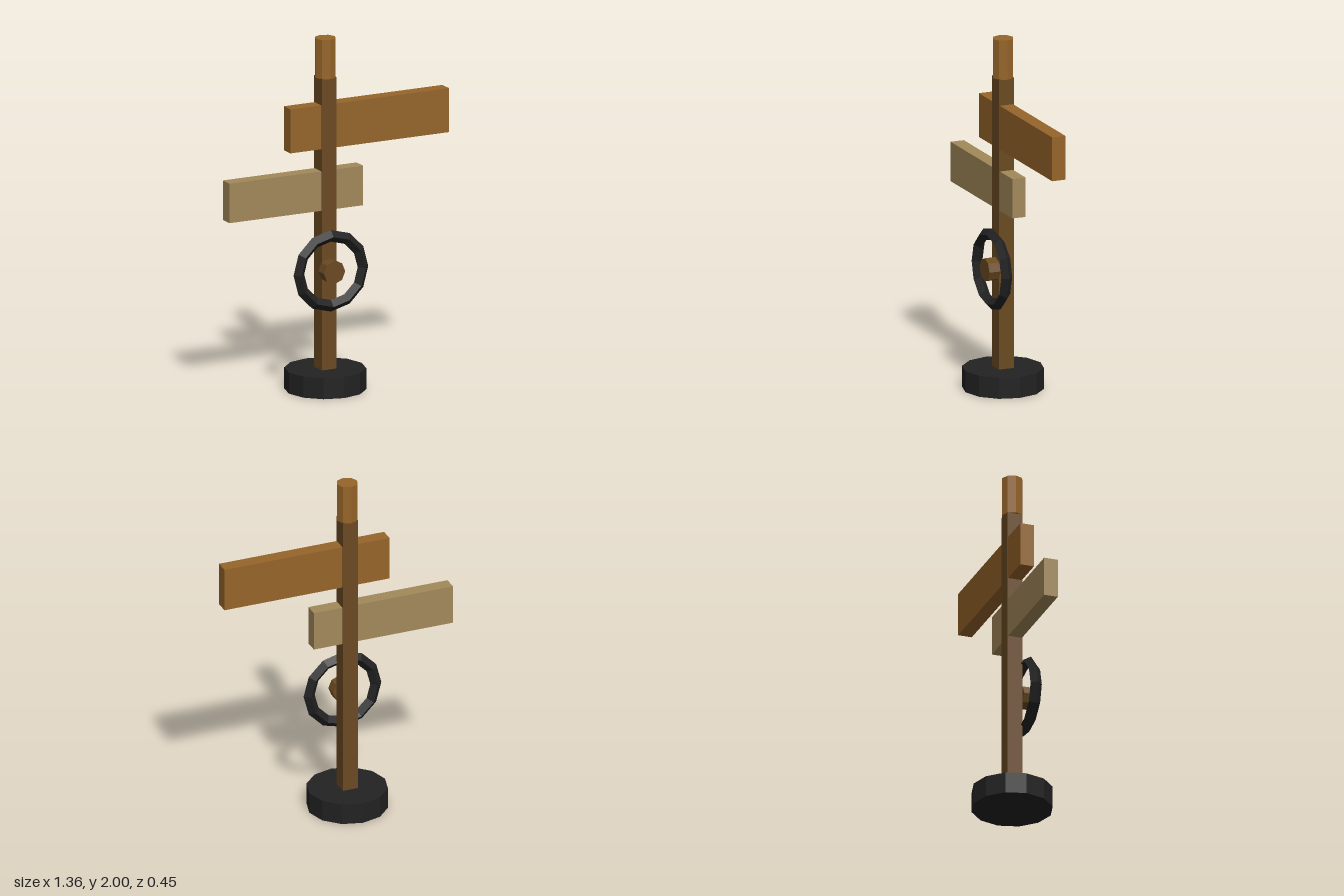
import * as THREE from 'three';

export function createModel() {
  const model = new THREE.Group();
  model.name = 'signpost';
  const postX = -0.068;

  const material = (name, color) => {
    const m = new THREE.MeshStandardMaterial({ color, flatShading: true });
    m.name = name;
    return m;
  };
  const darkWood = material('dark wood', 0x6b4a22);
  const warmWood = material('warm wood', 0x96652a);
  const paleWood = material('pale wood', 0xa3895b);
  const rubber = material('black rubber', 0x222222);

  const add = (name, geometry, mat, x, y, z = 0) => {
    const mesh = new THREE.Mesh(geometry, mat);
    mesh.name = name;
    mesh.position.set(x, y, z);
    model.add(mesh);
    return mesh;
  };

  // Round foot, square post and eight-sided cap
  add('base', new THREE.CylinderGeometry(0.226, 0.226, 0.12, 12), rubber, postX, 0.06);
  add('post', new THREE.BoxGeometry(0.09, 1.68, 0.09), darkWood, postX, 0.94);
  add('postCap', new THREE.CylinderGeometry(0.06, 0.06, 0.224, 8), warmWood, postX, 1.888);

  // Sign boards running through the post
  add('upperBoard', new THREE.BoxGeometry(0.985, 0.25, 0.08), warmWood, 0.188, 1.503);
  add('lowerBoard', new THREE.BoxGeometry(0.83, 0.225, 0.08), paleWood, -0.268, 1.14);

  // Ring on the front of the post, with its round peg
  add('ring', new THREE.TorusGeometry(0.199, 0.033, 4, 12), rubber, postX, 0.687, 0.067);
  const peg = add('peg', new THREE.CylinderGeometry(0.066, 0.066, 0.066, 8), darkWood, postX, 0.687, 0.078);
  peg.rotation.x = Math.PI / 2;

  return model;
}
